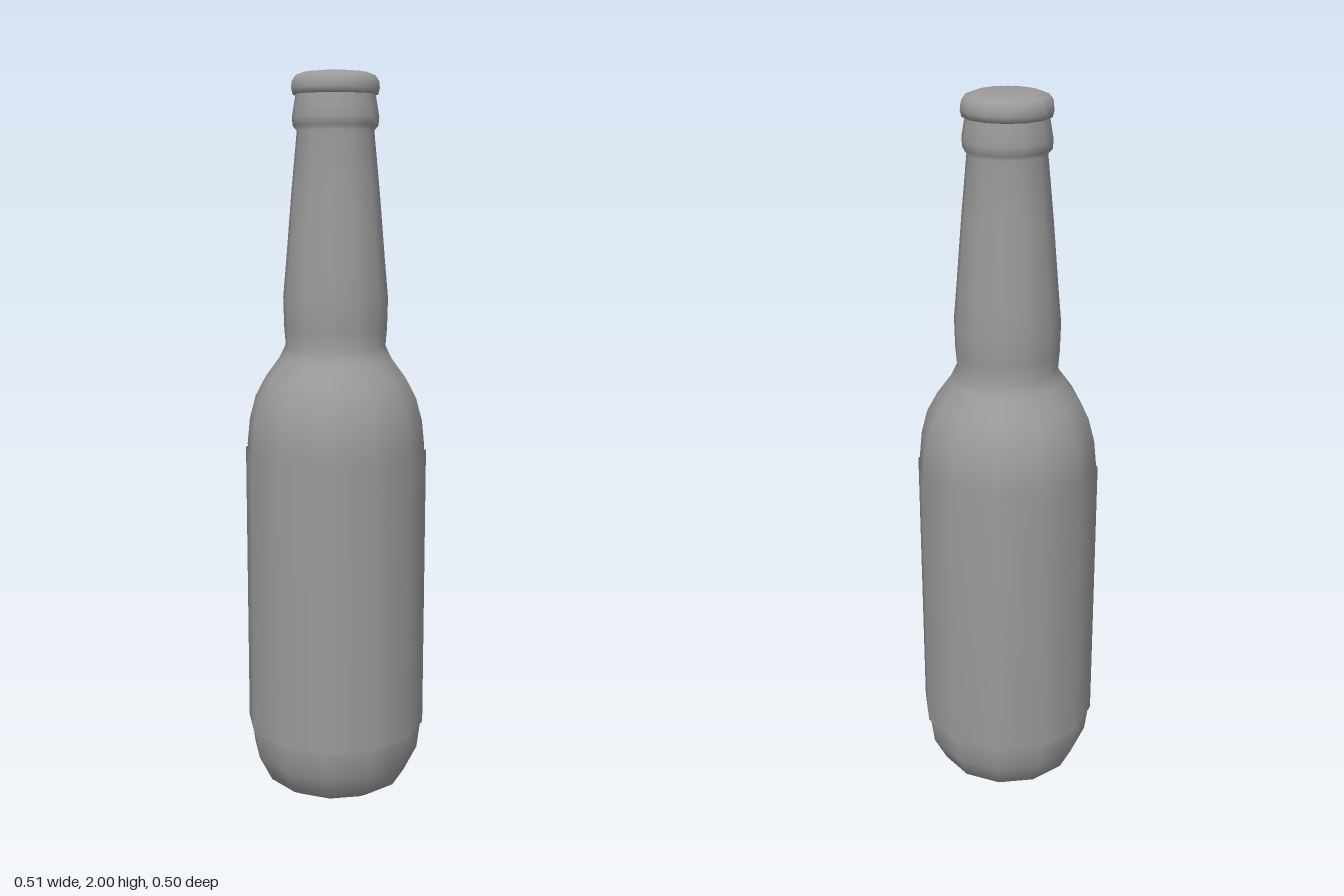
import * as THREE from 'three';

const SIDES = 12;

// Smooth turned part from [radius, height] pairs, listed bottom to top
function turned(name, profile, sides = SIDES, start = 0, sweep = Math.PI * 2) {
  const points = profile.map(([r, y]) => new THREE.Vector2(r, y));
  const mesh = new THREE.Mesh(
    new THREE.LatheGeometry(points, sides, start, sweep),
    new THREE.MeshStandardMaterial({ color: 0x9a9a9a, side: THREE.DoubleSide })
  );
  mesh.name = name;
  return mesh;
}

export function createModel() {
  const bottle = new THREE.Group();
  bottle.name = 'bottle';

  // Glass: rounded base, straight body, round shoulder, tapering neck and lip ring
  bottle.add(turned('glassBody', [
    [0, 0.012], [0.11, 0.009], [0.165, 0.002], [0.2, 0.022], [0.237, 0.095], [0.248, 0.18],
    [0.249, 0.6], [0.248, 0.99], [0.241, 1.06], [0.224, 1.125], [0.195, 1.18],
    [0.155, 1.235], [0.138, 1.27], [0.142, 1.32], [0.144, 1.4], [0.135, 1.5],
    [0.12, 1.68], [0.104, 1.845], [0.115, 1.857], [0.117, 1.88], [0.112, 1.91], [0.106, 1.945],
  ]));

  // Cap with a closed underside and domed top
  const cap = turned('cap', [
    [0.1, 1.942], [0.116, 1.938], [0.12, 1.953], [0.118, 1.972],
    [0.107, 1.987], [0.085, 1.995], [0.045, 1.999], [0, 2],
  ], 14);
  cap.rotation.y = 0.1;
  bottle.add(cap);

  // Wrap-around label, open across two facets at the back
  bottle.add(turned('label', [[0.253, 0.175], [0.253, 0.978]],
    10, -Math.PI * 5 / 6, Math.PI * 5 / 3));

  return bottle;
}
